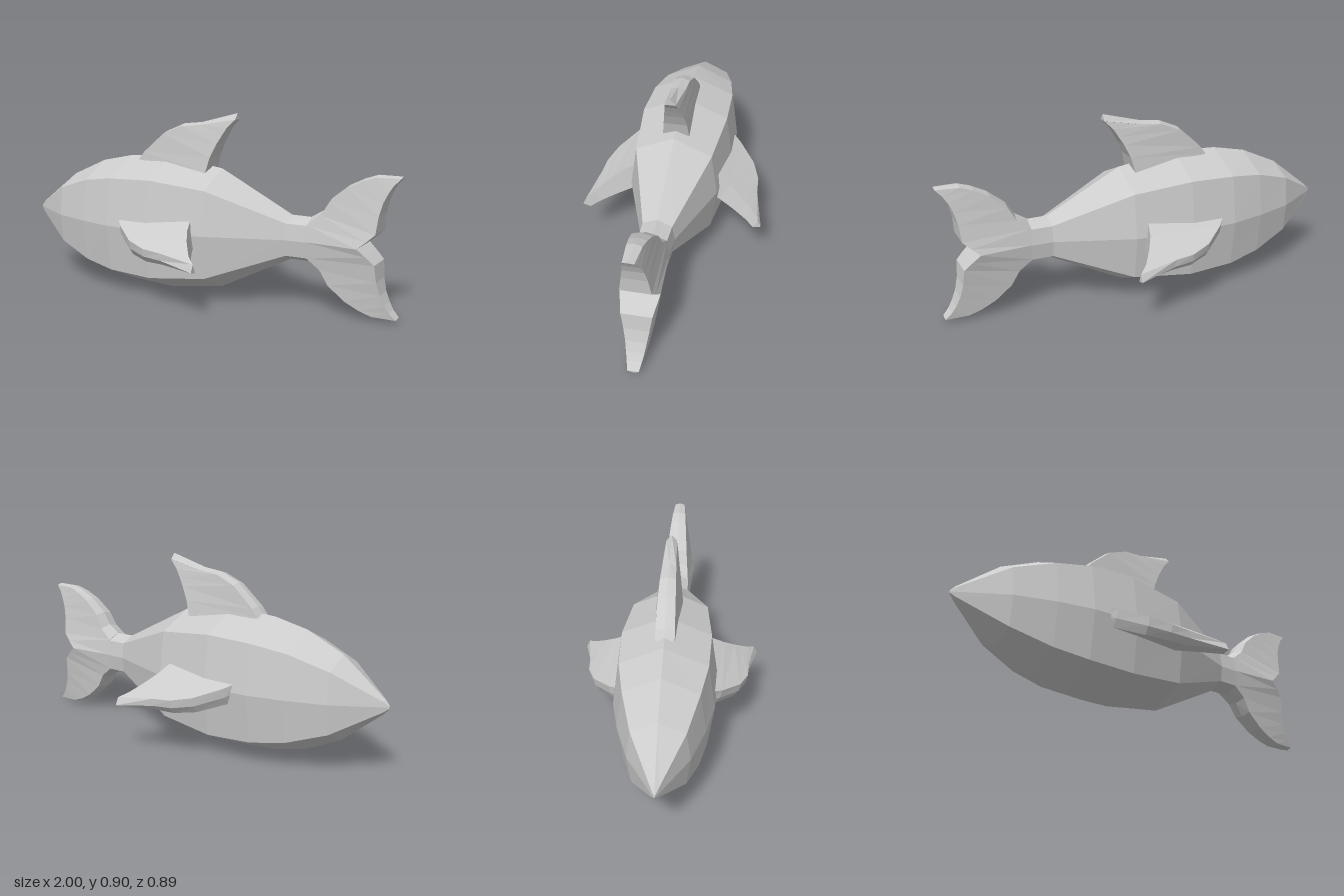
import * as THREE from 'three';

const CENTER_Y = 0.34;

// Skins a row of rings (each counter-clockwise about the direction of travel) and caps both ends.
function loft(rings) {
  const n = rings[0].length, last = (rings.length - 1) * n, index = [];
  for (let i = 0; i < rings.length - 1; i++) {
    for (let j = 0; j < n; j++) {
      const a = i * n + j, b = i * n + (j + 1) % n;
      index.push(a, b, a + n, b, b + n, a + n);
    }
  }
  for (let j = 1; j < n - 1; j++) {
    index.push(0, j + 1, j, last, last + j, last + j + 1);
  }
  const geometry = new THREE.BufferGeometry();
  geometry.setAttribute('position', new THREE.Float32BufferAttribute(rings.flat(2), 3));
  geometry.setIndex(index);
  const flat = geometry.toNonIndexed();
  flat.computeVertexNormals();
  return flat;
}

// Fin section: a leading ridge, two leading shoulders and a flat trailing edge.
// Row: ridge x, y | shoulder x, y, half width | trailing x, y, half width
function finRing([rx, ry, sx, sy, sw, tx, ty, tw]) {
  return [[rx, ry, 0], [sx, sy, sw], [tx, ty, tw], [tx, ty, -tw], [sx, sy, -sw]];
}

export function createModel() {
  const group = new THREE.Group();
  const material = new THREE.MeshStandardMaterial({ color: 0xcccccc, flatShading: true });
  const add = (name, geometry, y, z = 0, angle = 0) => {
    const mesh = new THREE.Mesh(geometry, material);
    mesh.name = name;
    mesh.position.set(0, y, z);
    mesh.rotation.x = angle;
    group.add(mesh);
  };

  // Body: eight-sided sections along x, given as x, half height, half width
  const stations = [
    [-1, 0.008, 0.004], [-0.975, 0.035, 0.02], [-0.77, 0.198, 0.14], [-0.58, 0.285, 0.2],
    [-0.41, 0.322, 0.236], [-0.18, 0.336, 0.245], [0.11, 0.295, 0.213],
    [0.48, 0.106, 0.08], [0.585, 0.106, 0.076],
  ];
  const section = [[1, 0], [0.72, 0.86], [0, 1], [-0.72, 0.86], [-1, 0], [-0.72, -0.86], [0, -1], [0.72, -0.86]];
  add('body', loft(stations.map(([x, h, w]) => section.map(([y, z]) => [x, y * h, z * w]))), CENTER_Y);

  // Dorsal fin and two pectoral fins share one swept-back shape
  const fin = loft([
    [-0.34, 0.042, -0.34, 0.036, 0.045, 0.05, 0, 0.064],
    [-0.31, 0.085, -0.308, 0.077, 0.044, 0.07, 0.075, 0.056],
    [-0.2, 0.183, -0.198, 0.174, 0.041, 0.1, 0.138, 0.047],
    [-0.1, 0.226, -0.098, 0.216, 0.037, 0.125, 0.18, 0.04],
    [0, 0.238, 0, 0.226, 0.033, 0.15, 0.22, 0.034],
    [0.19, 0.29, 0.18, 0.259, 0.026, 0.19, 0.26, 0.025],
  ].map(finRing));
  add('dorsalFin', fin, 0.615);
  for (const [name, side] of [['leftPectoralFin', 1], ['rightPectoralFin', -1]]) {
    add(name, fin, 0.352, side * 0.18, side * 2.0);
  }

  // Tail lobes meet on the centre line; the lower one is turned over
  const lobe = loft([
    [0.58, 0, 0.581, 0, 0.076, 0.83, 0, 0.09],
    [0.58, 0.106, 0.581, 0.078, 0.065, 0.87, 0.035, 0.08],
    [0.64, 0.143, 0.645, 0.128, 0.058, 0.907, 0.07, 0.07],
    [0.68, 0.205, 0.684, 0.196, 0.052, 0.915, 0.15, 0.058],
    [0.76, 0.27, 0.763, 0.262, 0.045, 0.93, 0.21, 0.048],
    [0.83, 0.306, 0.832, 0.298, 0.039, 0.95, 0.255, 0.041],
    [0.89, 0.327, 0.891, 0.318, 0.034, 0.97, 0.288, 0.034],
    [1, 0.328, 0.99, 0.321, 0.026, 1, 0.32, 0.026],
  ].map(finRing));
  add('upperTailLobe', lobe, CENTER_Y + 0.002);
  add('lowerTailLobe', lobe, CENTER_Y + 0.002, 0, Math.PI);

  return group;
}
